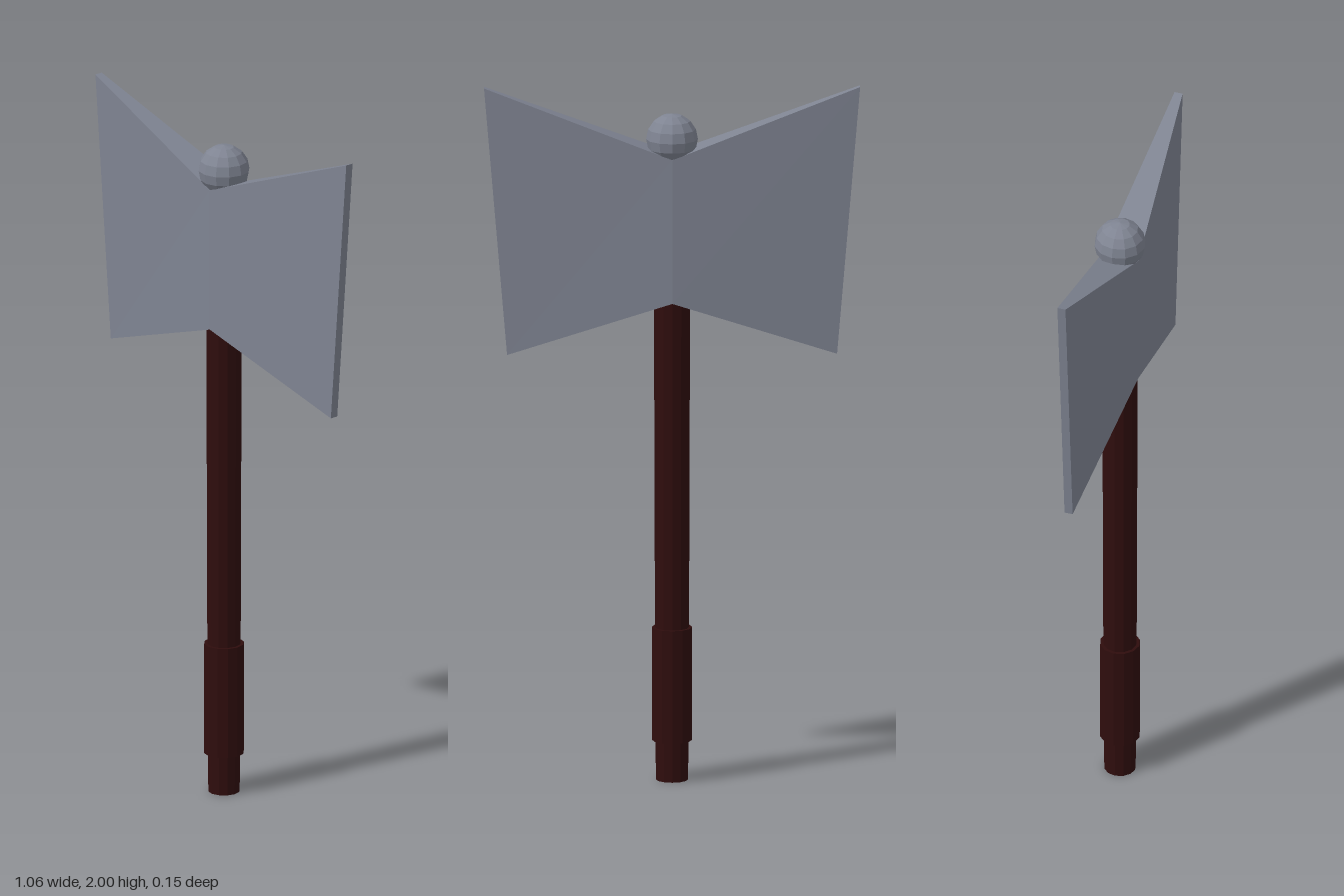
import * as THREE from 'three';

const steel = new THREE.MeshStandardMaterial({ color: 0x7f8492 });
steel.name = 'steel';
steel.flatShading = true;
const wood = new THREE.MeshStandardMaterial({ color: 0x2f0d0d });
wood.name = 'darkWood';
wood.flatShading = true;

// Double wedge: cross-sections [x, bottom, top, half thickness] joined from right to left
function bladeGeometry() {
  const sections = [
    [-0.53, -0.465, 1.23, 2.0, 0.012],
    [0, 0, 1.385, 1.8, 0.054],
    [0.53, 0.465, 1.23, 2.0, 0.012],
  ];
  const pos = [];
  for (const [xt, xb, b, t, h] of sections) {
    pos.push(xb, b, h, xt, t, h, xt, t, -h, xb, b, -h);
  }
  const idx = [];
  const quad = (a, b, c, d) => idx.push(a, b, c, a, c, d);
  for (let s = 0; s < 2; s++) {
    for (let i = 0; i < 4; i++) {
      const j = (i + 1) % 4;
      quad(s * 4 + i, s * 4 + 4 + i, s * 4 + 4 + j, s * 4 + j);
    }
  }
  quad(0, 1, 2, 3);
  quad(11, 10, 9, 8);
  const g = new THREE.BufferGeometry();
  g.setAttribute('position', new THREE.Float32BufferAttribute(pos, 3));
  g.setIndex(idx);
  const flat = g.toNonIndexed();
  flat.computeVertexNormals();
  return flat;
}

export function createModel() {
  const axe = new THREE.Group();
  axe.name = 'doubleAxe';

  const add = (name, geometry, material, y = 0) => {
    const mesh = new THREE.Mesh(geometry, material);
    mesh.name = name;
    mesh.position.y = y;
    axe.add(mesh);
  };
  const shaft = (name, rTop, rBottom, y0, y1) =>
    add(name, new THREE.CylinderGeometry(rTop, rBottom, y1 - y0, 12), wood, (y0 + y1) / 2);

  // Stepped handle
  shaft('pommel', 0.047, 0.045, 0, 0.12);
  shaft('grip', 0.057, 0.057, 0.115, 0.44);
  shaft('handle', 0.051, 0.048, 0.43, 1.42);

  // Head and finial
  add('blade', bladeGeometry(), steel);
  add('topKnob', new THREE.SphereGeometry(0.073, 12, 8), steel, 1.85);

  return axe;
}
